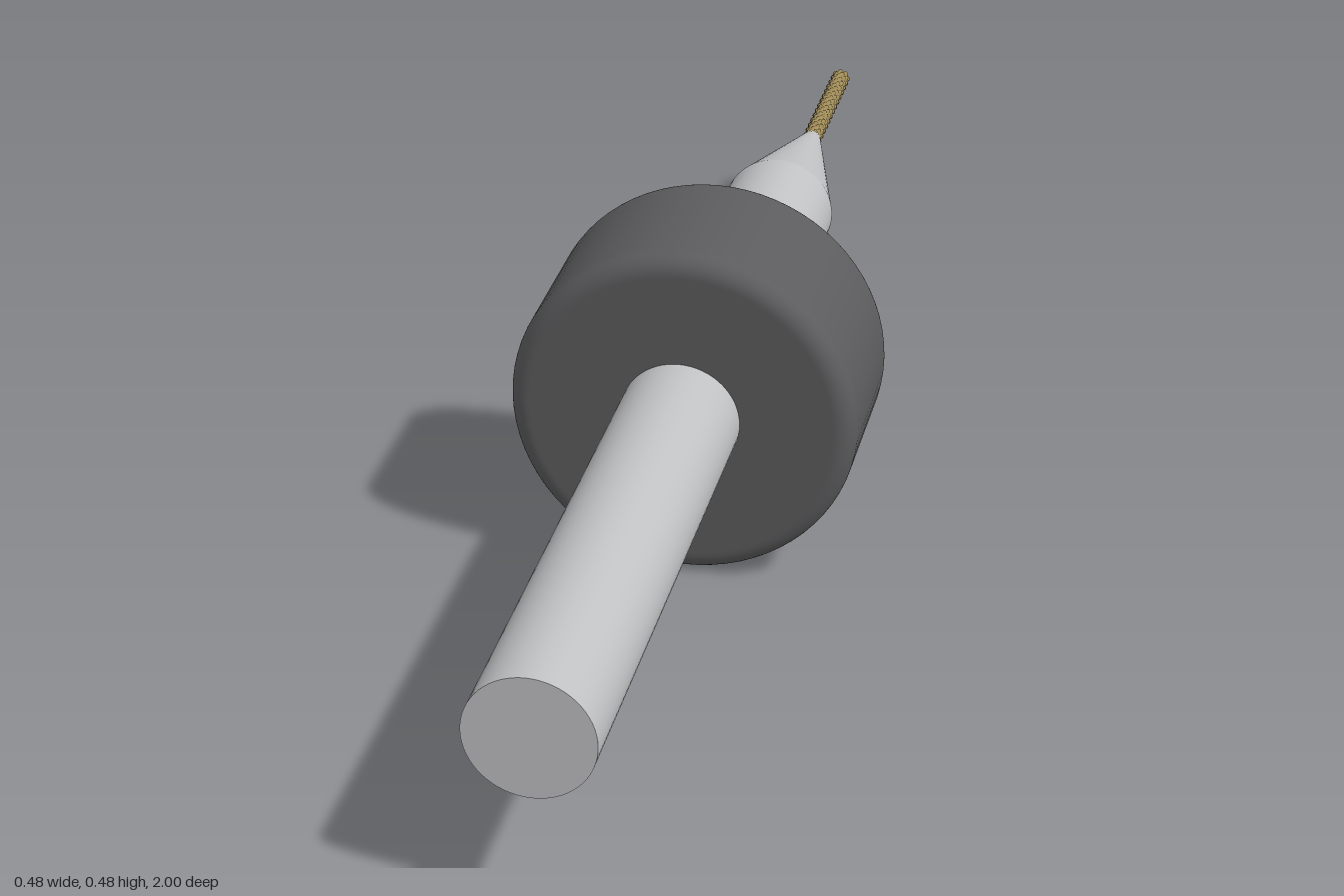
import * as THREE from 'three';

const AXIS_Y = 0.241;

// Turned part along z: profile points are [radius, z], back to front
function turned(name, profile, material, segments = 64) {
  const points = profile.map(([r, z]) => new THREE.Vector2(r, z));
  const geometry = new THREE.LatheGeometry(points, segments);
  geometry.rotateX(Math.PI / 2);
  const mesh = new THREE.Mesh(geometry, material);
  mesh.name = name;
  return mesh;
}

// Straight or tapered rod with flat ends, from zBack to zFront
function rod(name, rBack, rFront, zBack, zFront, material) {
  const geometry = new THREE.CylinderGeometry(rFront, rBack, zFront - zBack, 64);
  geometry.rotateX(Math.PI / 2);
  geometry.translate(0, 0, (zBack + zFront) / 2);
  const mesh = new THREE.Mesh(geometry, material);
  mesh.name = name;
  return mesh;
}

// Cutter with diamond teeth left between two crossing sets of spiral grooves
function cutter(name, rCore, rTip, zBack, zFront, material) {
  const length = zFront - zBack, starts = 8, pitch = 0.02;
  const geometry = new THREE.CylinderGeometry(rTip, rTip, length, 48, 104);
  const p = geometry.attributes.position;
  const ridge = (t) => Math.min(1, 3 * Math.abs(t - Math.round(t)));
  for (let i = 0; i < p.count; i++) {
    const x = p.getX(i), y = p.getY(i), z = p.getZ(i);
    if (Math.hypot(x, z) < 1e-6) continue;
    const turn = (Math.atan2(x, z) / (2 * Math.PI)) * starts;
    const rise = y / pitch;
    const r = rCore + (rTip - rCore) * Math.min(ridge(turn + rise), ridge(turn - rise));
    const k = r / Math.hypot(x, z);
    p.setXYZ(i, x * k, y, z * k);
  }
  geometry.rotateX(Math.PI / 2);
  geometry.translate(0, 0, (zBack + zFront) / 2);
  geometry.computeVertexNormals();
  const mesh = new THREE.Mesh(geometry, material);
  mesh.name = name;
  return mesh;
}

export function createModel() {
  const steel = new THREE.MeshStandardMaterial({ name: 'steel', color: 0xc0c1c3 });
  const darkPlastic = new THREE.MeshStandardMaterial({ name: 'darkPlastic', color: 0x5c5c5e });
  const bronze = new THREE.MeshStandardMaterial({ name: 'bronze', color: 0xa08c58 });

  const model = new THREE.Group();
  model.name = 'cuttingBit';

  // Collar with rounded rims
  const R = 0.241, fillet = 0.028, zBack = -0.053, zFront = 0.208, steps = 10;
  const profile = [[0, zBack], [R - fillet - 0.003, zBack]];
  for (let i = 0; i <= steps; i++) {
    const a = (i / steps) * Math.PI / 2;
    profile.push([R - fillet + fillet * Math.sin(a), zBack + fillet - fillet * Math.cos(a)]);
  }
  profile.push([R, zBack + fillet + 0.003], [R, zFront - fillet - 0.003]);
  for (let i = 0; i <= steps; i++) {
    const a = (i / steps) * Math.PI / 2;
    profile.push([R - fillet + fillet * Math.cos(a), zFront - fillet + fillet * Math.sin(a)]);
  }
  profile.push([R - fillet - 0.003, zFront], [0, zFront]);

  model.add(
    rod('shank', 0.083, 0.083, -0.475, 1, steel),
    rod('taperedNeck', 0.013, 0.083, -0.75, -0.475, steel),
    turned('collar', profile, darkPlastic, 72),
    cutter('cutterTip', 0.0125, 0.0155, -1, -0.74, bronze),
  );
  model.children.forEach((part) => { part.position.y = AXIS_Y; });
  return model;
}
